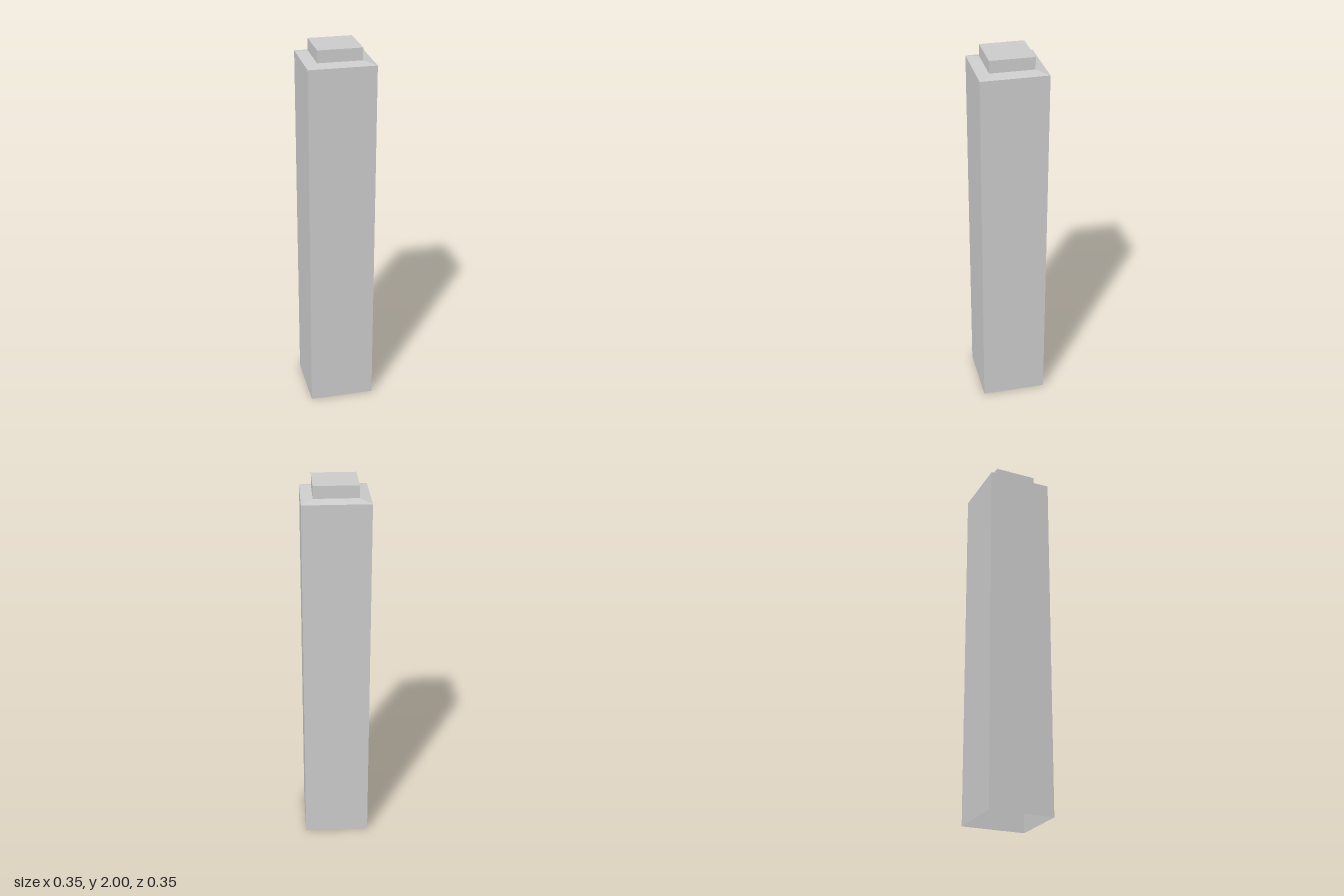
import * as THREE from 'three';

const material = new THREE.MeshStandardMaterial({ color: 0xcccccc, flatShading: true, side: THREE.DoubleSide });

// Square-section shell through [half width, height] pairs, listed bottom to top
function squareShell(name, profile) {
  const points = profile.map(([half, y]) => new THREE.Vector2(half * Math.SQRT2, y));
  const geometry = new THREE.LatheGeometry(points, 4, Math.PI / 4).toNonIndexed();
  geometry.computeVertexNormals();
  const mesh = new THREE.Mesh(geometry, material);
  mesh.name = name;
  return mesh;
}

export function createModel() {
  const model = new THREE.Group();
  model.name = 'squarePost';
  const bodyHalf = 0.174, capHalf = 0.115;
  const bodyTop = 1.923, capBase = 1.936, capTop = 2;

  model.add(
    // Hollow shaft, open at the bottom
    squareShell('shaft', [[bodyHalf, 0], [bodyHalf, bodyTop]]),
    // Shallow slope leading in to the cap
    squareShell('shoulder', [[bodyHalf, bodyTop], [capHalf, capBase]]),
    // Small square block closing the top
    squareShell('cap', [[capHalf, capBase], [capHalf, capTop], [0, capTop]])
  );
  return model;
}
